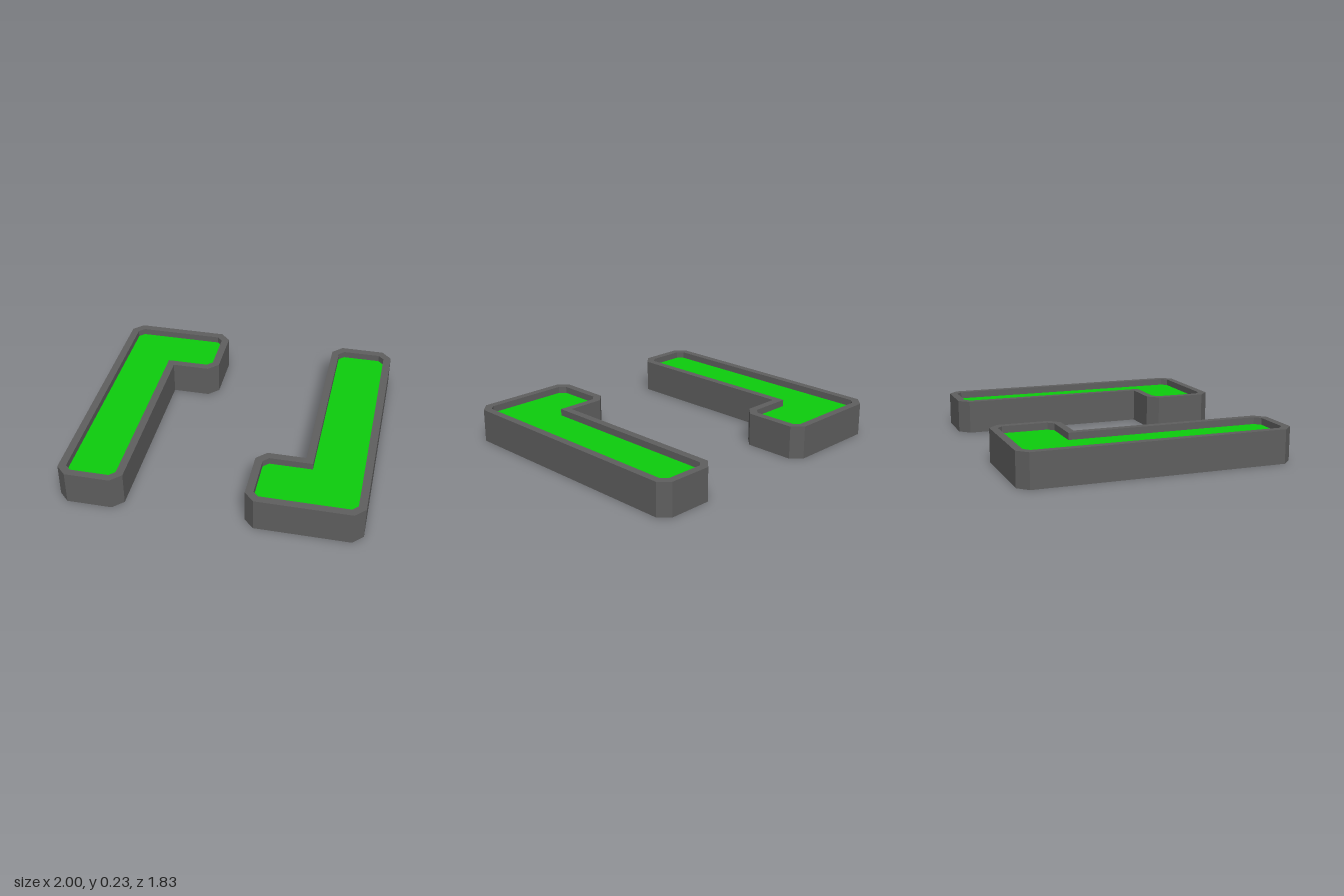
import * as THREE from 'three';

const HEIGHT = 0.228, PANEL_Y = 0.182, RIM = 0.052;

// L-shaped outline with cut corners, moved inward by d; y of the outline is -z
function outline(d) {
  const l = -1 + d, r = -0.236 - d, s = -0.562 - d;
  const t = 0.917 - d, f = 0.433 + d, c = 0.068 - 0.586 * d;
  return [
    [l, -t + c], [l + c, -t], [s - c, -t], [s, -t + c], [s, f], [r - c, f],
    [r, f + c], [r, t - c], [r - c, t], [l + c, t], [l, t - c],
  ].map(([x, y]) => new THREE.Vector2(x, y));
}

// Upright wall along a closed outline, facing outward, or inward when flipped
function wall(points, y0, y1, inward) {
  const pos = [];
  points.forEach((p, i) => {
    const q = points[(i + 1) % points.length];
    const [a, b] = inward ? [q, p] : [p, q];
    const A = [a.x, y0, -a.y], B = [b.x, y0, -b.y], C = [b.x, y1, -b.y], D = [a.x, y1, -a.y];
    pos.push(...A, ...B, ...C, ...A, ...C, ...D);
  });
  const g = new THREE.BufferGeometry();
  g.setAttribute('position', new THREE.Float32BufferAttribute(pos, 3));
  g.computeVertexNormals();
  return g;
}

// Flat horizontal sheet, facing up
function sheet(points, y, hole) {
  const shape = new THREE.Shape(points);
  if (hole) shape.holes.push(new THREE.Path(hole));
  return new THREE.ShapeGeometry(shape).rotateX(-Math.PI / 2).translate(0, y, 0);
}

export function createModel() {
  const gray = new THREE.MeshStandardMaterial({ name: 'darkGray', color: 0x5e5e5e, side: THREE.DoubleSide });
  const green = new THREE.MeshStandardMaterial({ name: 'green', color: 0x0dcc0d, side: THREE.DoubleSide });
  const outer = outline(0), inner = outline(RIM);

  const parts = [
    ['outerWall', wall(outer, 0, HEIGHT, false), gray],
    ['rim', sheet(outer, HEIGHT, inner), gray],
    ['innerWall', wall(inner, PANEL_Y, HEIGHT, true), gray],
    ['greenPanel', sheet(inner, PANEL_Y), green],
  ];

  // Two identical open-bottomed L trays, half a turn apart
  const model = new THREE.Group();
  model.name = 'planterPair';
  ['rightTray', 'leftTray'].forEach((name, i) => {
    const tray = new THREE.Group();
    tray.name = name;
    for (const [part, geometry, material] of parts) {
      const mesh = new THREE.Mesh(geometry, material);
      mesh.name = part;
      tray.add(mesh);
    }
    tray.rotation.y = i * Math.PI;
    model.add(tray);
  });
  return model;
}
